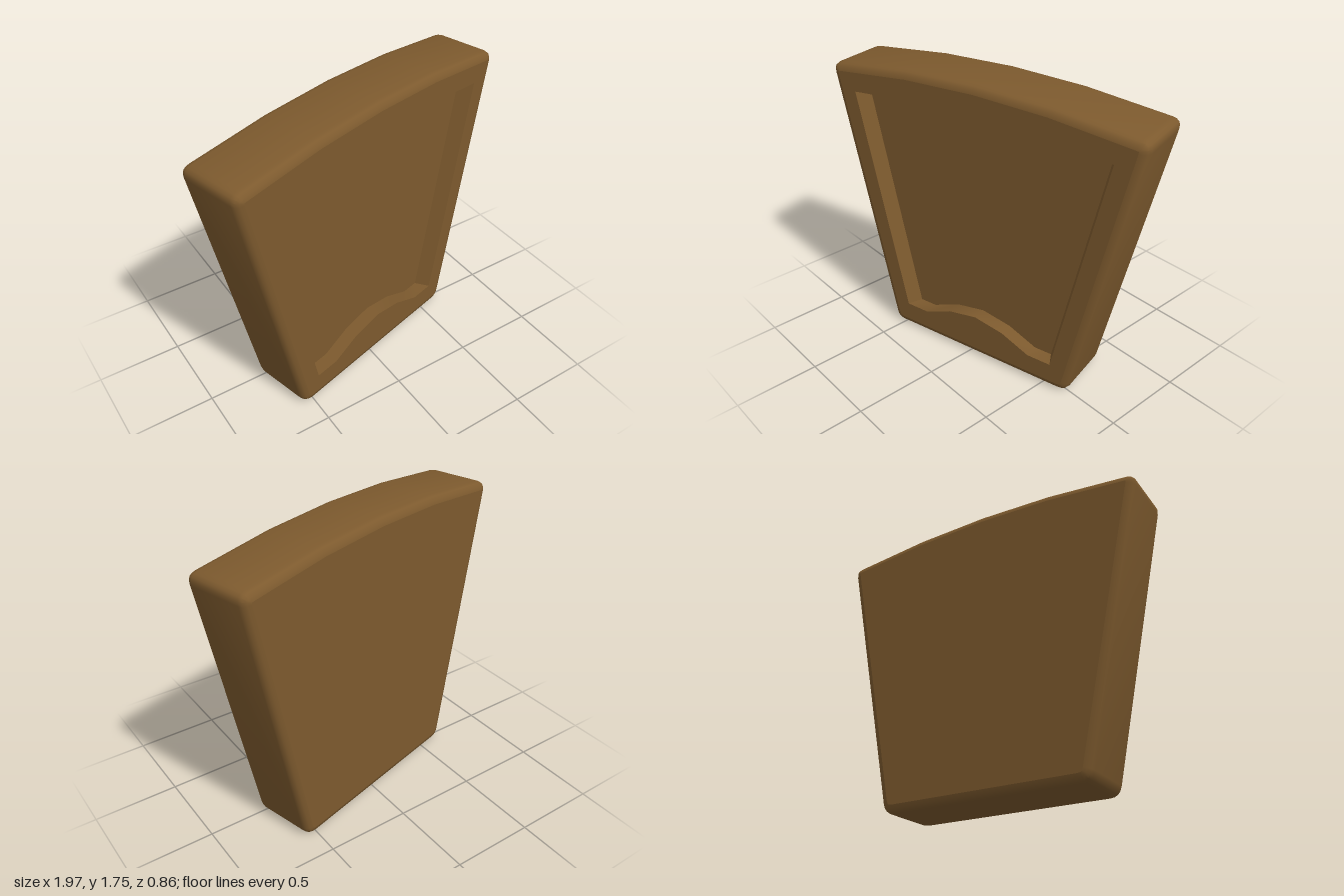
import * as THREE from 'three';
import { toCreasedNormals } from 'three/addons/utils/BufferGeometryUtils.js';

const HALF = 0.2;      // half the thickness
const BEVEL = 0.045;   // rounding of the front and back rims
const DEPTH = 0.085;   // depth of the front recess

const v = (x, y) => new THREE.Vector2(x, y);

// Mirrors a right-hand run of points (bottom centre to top centre) into a closed loop
function mirrored(right) {
  const left = right.slice(1, -1).reverse().map((p) => v(-p.x, p.y));
  return [...right, ...left];
}

// Replaces a corner with a small arc
function roundCorner(a, c, b, r, steps = 4) {
  const p = c.clone().add(a.clone().sub(c).setLength(r));
  const q = c.clone().add(b.clone().sub(c).setLength(r));
  return new THREE.QuadraticBezierCurve(p, c, q).getPoints(steps);
}

// Moves a counter-clockwise loop inwards by d
function inset(loop, d) {
  const n = loop.length;
  return loop.map((p, i) => {
    const e1 = p.clone().sub(loop[(i + n - 1) % n]).normalize();
    const e2 = loop[(i + 1) % n].clone().sub(p).normalize();
    const m = v(-e1.y - e2.y, e1.x + e2.x).normalize();
    return p.clone().addScaledVector(m, d / (m.x * -e1.y + m.y * e1.x));
  });
}

// Joins successive loops, each with its own z, into a band of quads
function band(rings, crease) {
  const n = rings[0].loop.length;
  const pos = [], idx = [];
  rings.forEach(({ loop, z }) => loop.forEach((p) => pos.push(p.x, p.y, z)));
  for (let k = 0; k < rings.length - 1; k++) {
    for (let i = 0; i < n; i++) {
      const j = (i + 1) % n;
      const a = k * n + i, b = k * n + j, c = b + n, d = a + n;
      idx.push(a, b, c, a, c, d);
    }
  }
  const g = new THREE.BufferGeometry();
  g.setAttribute('position', new THREE.Float32BufferAttribute(pos, 3));
  g.setIndex(idx);
  return toCreasedNormals(g, crease);
}

export function createModel() {
  const stone = new THREE.MeshStandardMaterial({ color: 0x7d5a2e });
  stone.name = 'warm brown';
  const model = new THREE.Group();
  model.name = 'keystone';
  const add = (name, geometry, z = 0) => {
    const mesh = new THREE.Mesh(geometry, stone);
    mesh.name = name;
    mesh.position.z = z;
    model.add(mesh);
  };

  // Outer wedge outline with a gently arched top
  const low = v(0.63, 0), high = v(0.99, 1.675), shoulder = v(0.45, 1.73);
  const outline = mirrored([
    v(0, 0),
    ...roundCorner(v(0, 0), low, high, 0.06),
    ...roundCorner(low, high, shoulder, 0.06),
    shoulder,
    v(0, 1.745),
  ]);

  // Rounded shell from the back rim to the front rim
  const rings = [];
  const steps = 3;
  for (let s = 0; s <= steps; s++) {
    const t = (s / steps) * Math.PI / 2;
    rings.push({
      loop: inset(outline, BEVEL * (1 - Math.sin(t))),
      z: -HALF + BEVEL * (1 - Math.cos(t)),
    });
  }
  const front = rings.map(({ loop, z }) => ({ loop, z: -z })).reverse();
  add('shell', band([...rings, ...front], 0.62));

  // Recess opening, and its floor with tapered sides and a lower arch
  const hump = [v(0, 0.28), v(0.19, 0.245), v(0.37, 0.165)];
  const opening = mirrored([...hump, v(0.52, 0.165), v(0.816, 1.535), v(0.45, 1.566), v(0, 1.582)]);
  const floor = mirrored([...hump, v(0.48, 0.165), v(0.776, 1.53), v(0.45, 1.532), v(0, 1.555)]);

  // Flat faces
  const rim = rings[0].loop;
  const frame = new THREE.Shape(rim);
  frame.holes.push(new THREE.Path(opening));
  add('frontFrame', new THREE.ShapeGeometry(frame), HALF);
  add('backFace', new THREE.ShapeGeometry(new THREE.Shape(rim)).rotateY(Math.PI), -HALF);
  add('recessWalls', band([{ loop: opening, z: HALF }, { loop: floor, z: HALF - DEPTH }], 0.5));
  add('recessFloor', new THREE.ShapeGeometry(new THREE.Shape(floor)), HALF - DEPTH);

  // The block stands turned a little to its left
  model.rotation.y = 0.253;
  const root = new THREE.Group();
  root.name = 'keystoneBlock';
  root.add(model);
  return root;
}
